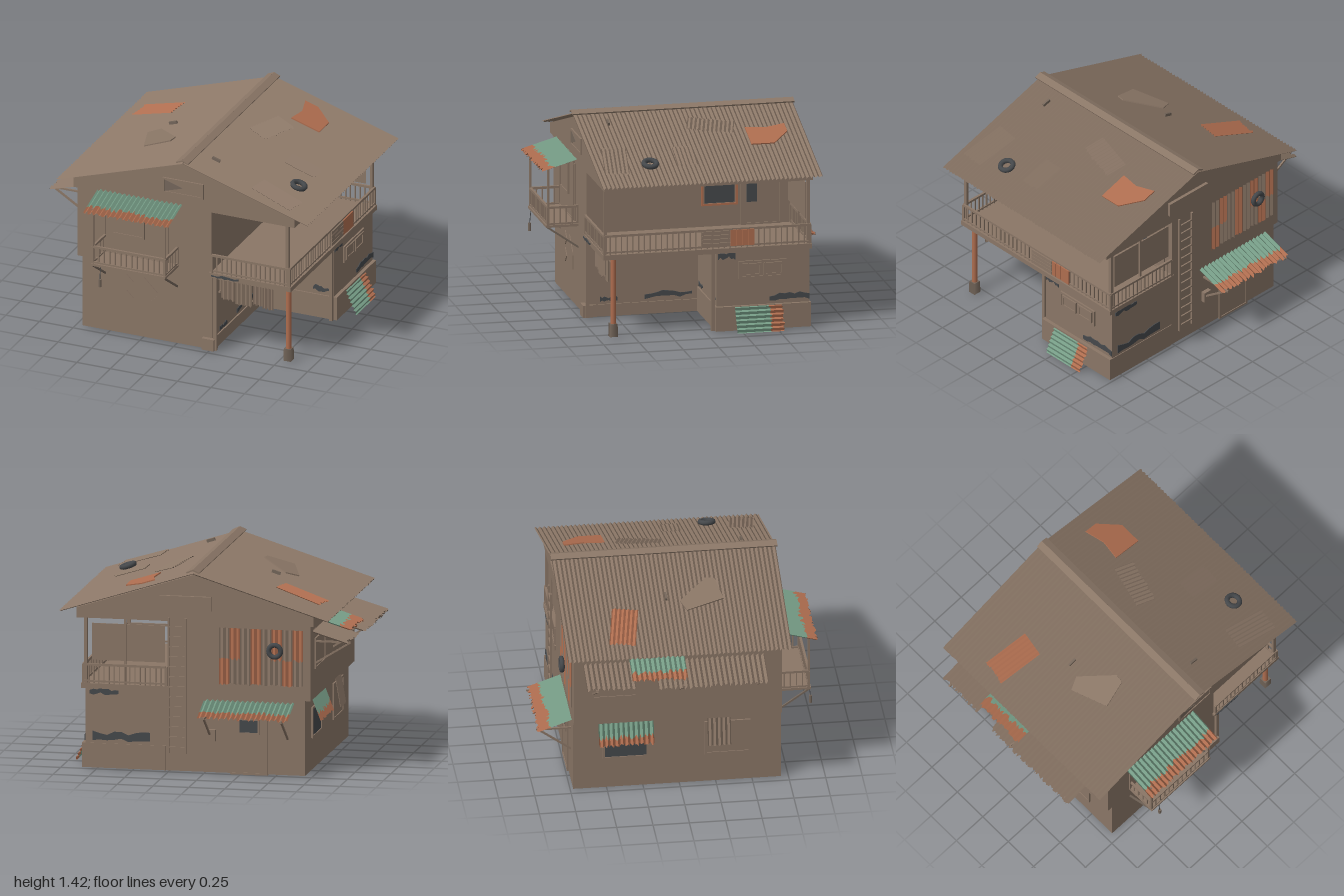
import * as THREE from 'three';

const paint = (name, color) => {
  const m = new THREE.MeshStandardMaterial({ color, side: THREE.DoubleSide });
  m.name = name;
  return m;
};

export function createModel() {
  const model = new THREE.Group();
  model.name = 'house';
  const tan = paint('weatheredTan', 0x8a7666), green = paint('fadedGreen', 0x769c86);
  const rust = paint('rust', 0xae6d4f), dark = paint('charcoal', 0x45484b);
  const brown = paint('dimBrown', 0x74665a);
  let seed = 7;
  const rnd = () => ((seed = (seed * 16807) % 2147483647) / 2147483647);

  const add = (name, geo, mat, parent = model) => {
    const m = new THREE.Mesh(geo, mat);
    m.name = name;
    parent.add(m);
    return m;
  };
  // box given by its minimum and maximum on each axis
  const box = (name, x0, x1, y0, y1, z0, z1, mat = tan) => {
    const m = add(name, new THREE.BoxGeometry(x1 - x0, y1 - y0, z1 - z0), mat);
    m.position.set((x0 + x1) / 2, (y0 + y1) / 2, (z0 + z1) / 2);
    return m;
  };
  // square bar between two points
  const bar = (name, a, b, t = 0.012, mat = tan) => {
    const p = new THREE.Vector3(...a), q = new THREE.Vector3(...b), d = q.clone().sub(p);
    const m = add(name, new THREE.BoxGeometry(t, d.length(), t), mat);
    m.position.copy(p).add(q).multiplyScalar(0.5);
    m.quaternion.setFromUnitVectors(new THREE.Vector3(0, 1, 0), d.normalize());
    return m;
  };
  // thin plate on a wall: 0 front, 1 right, 2 back, 3 left
  const plate = (name, pts, mat, pos, side = 0) => {
    const shape = new THREE.Shape(pts.map((p) => new THREE.Vector2(...p)));
    const m = add(name, new THREE.ExtrudeGeometry(shape, { depth: 0.006, bevelEnabled: false }), mat);
    m.position.set(...pos);
    m.rotation.y = side * Math.PI / 2;
    return m;
  };
  const rect = (w, h) => [[-w / 2, -h / 2], [w / 2, -h / 2], [w / 2, h / 2], [-w / 2, h / 2]];
  const blob = (w, h) => {
    const n = 8, pts = [];
    for (let i = 0; i <= n; i++) pts.push([(i / n - 0.5) * w, -h * (0.1 + 0.4 * rnd())]);
    for (let i = n; i >= 0; i--) pts.push([(i / n - 0.5) * w, h * (0.05 + 0.45 * rnd())]);
    return pts;
  };
  // framed opening on a wall, centred on pos
  const frame = (name, w, h, pos, side, pane = tan, edge = tan) => {
    plate(name + 'Pane', rect(w, h), pane, pos, side);
    const g = new THREE.Group();
    g.name = name + 'Frame';
    g.position.set(...pos);
    g.rotation.y = side * Math.PI / 2;
    model.add(g);
    for (const s of [-1, 1]) {
      add('frameSide', new THREE.BoxGeometry(0.014, h + 0.014, 0.024), edge, g).position.x = s * w / 2;
      add('frameRail', new THREE.BoxGeometry(w, 0.014, 0.024), edge, g).position.y = s * h / 2;
    }
  };
  // corrugated sheet: runs along +x, waves across z, changes colour at the split
  const sheet = (name, width, run, { pitch = 0.03, amp = 0.006, jag = 0.008, split = 0.6, mats = [tan, tan], parent = model } = {}) => {
    const n = Math.max(4, Math.round(width / pitch) * 4), g = new THREE.PlaneGeometry(1, 1, n, 2), p = g.attributes.position;
    for (let i = 0; i < p.count; i++) {
      const c = i % (n + 1), r = Math.floor(i / (n + 1));
      const x = [0, split * run, run][r] + (r ? (rnd() - 0.5) * jag * (r === 1 ? 3 : 2) : 0);
      p.setXYZ(i, x, amp * Math.sin(c * Math.PI / 2), (c / n - 0.5) * width);
    }
    g.clearGroups();
    g.addGroup(0, 6 * n, 0);
    g.addGroup(6 * n, 6 * n, 1);
    const flat = g.toNonIndexed();
    flat.computeVertexNormals();
    return add(name, flat, mats, parent);
  };
  const rail = (name, a, b, y0, y1, gap = 0.04) => {
    bar(name + 'Top', [a[0], y1, a[1]], [b[0], y1, b[1]], 0.016);
    bar(name + 'Bottom', [a[0], y0 + 0.015, a[1]], [b[0], y0 + 0.015, b[1]]);
    const n = Math.round(Math.hypot(b[0] - a[0], b[1] - a[1]) / gap);
    for (let i = 0; i <= n; i++) {
      const x = a[0] + (b[0] - a[0]) * i / n, z = a[1] + (b[1] - a[1]) * i / n;
      bar(name + 'Baluster', [x, y0, z], [x, y1, z], i % n ? 0.008 : 0.016);
    }
  };

  // walls
  box('groundFloor', -0.7, 0.27, 0, 0.55, -0.73, 0.7);
  box('groundFloorRear', 0.27, 0.83, 0, 0.55, -0.73, -0.08);
  box('plinth', 0.27, 0.855, 0, 0.17, -0.735, -0.07);
  box('upperFloor', -0.74, 0.26, 0.52, 1.05, -0.73, 0.7);
  box('deck', 0.25, 0.86, 0.55, 0.585, -0.74, 0.72);
  box('pillarFoot', 0.2, 0.29, 0, 0.085, 0.66, 0.73);
  box('wallFoot', 0.26, 0.28, 0, 0.085, -0.08, 0.7);
  const gable = new THREE.Shape([[-0.76, 1.04], [0.89, 1.04], [0.89, 1.11], [0.07, 1.37], [-0.76, 1.11]].map((p) => new THREE.Vector2(...p)));
  add('gable', new THREE.ExtrudeGeometry(gable, { depth: 1.46, bevelEnabled: false }), tan).position.z = -0.74;

  // roof slopes with patches
  const slopes = {};
  for (const s of [-1, 1]) {
    const g = new THREE.Group(), rise = 0.295, reach = s > 0 ? 0.93 : 0.94;
    g.name = s > 0 ? 'rightSlope' : 'leftSlope';
    g.position.set(0.07, 1.385, -0.015);
    g.rotation.set(0, s > 0 ? 0 : Math.PI, -Math.atan2(rise, reach));
    model.add(g);
    sheet('roofSheet', 1.54, Math.hypot(rise, reach), { parent: g, amp: 0.007, jag: 0.003 });
    slopes[s] = g;
  }
  const onRoof = (obj, x, z, yaw = 0, lift = 0.018) => {
    const s = x > 0.07 ? 1 : -1, holder = new THREE.Group();
    holder.name = 'roofPiece';
    holder.position.set(Math.abs(x - 0.07) * 1.048, lift, s * (z + 0.015));
    holder.rotation.y = yaw;
    holder.add(obj);
    slopes[s].add(holder);
  };
  const patch = (x, z, run, width, yaw, mat) => {
    const m = sheet('roofPatch', width, run, { mats: [mat, mat], jag: 0.01 });
    m.position.x = -run / 2;
    onRoof(m, x, z, yaw);
  };
  patch(-0.6, -0.37, 0.33, 0.18, -0.17, rust);
  patch(0.33, -0.15, 0.15, 0.32, -0.27, tan);
  patch(0.68, 0.11, 0.23, 0.14, -0.03, tan);
  patch(0.7, 0.6, 0.32, 0.17, -0.13, tan);
  // torn scraps, outlined in plan around their centre
  const scrap = (x, z, pts, mat) => {
    const s = x > 0.07 ? 1 : -1;
    const shape = new THREE.Shape(pts.map(([a, b]) => new THREE.Vector2(a * s, -b * s)));
    const m = add('roofScrap', new THREE.ExtrudeGeometry(shape, { depth: 0.008, bevelEnabled: false }), mat);
    m.rotation.x = -Math.PI / 2;
    onRoof(m, x, z, 0, 0.01);
  };
  scrap(0.47, -0.52, [[-0.12, -0.14], [-0.02, -0.14], [0.12, -0.02], [0.12, 0.14], [-0.1, 0.14], [-0.08, 0]], rust);
  scrap(-0.35, 0.2, [[-0.14, -0.12], [-0.05, -0.16], [0.15, 0.04], [0.14, 0.1], [-0.05, 0.14]], tan);
  const roofTyre = add('roofTyre', new THREE.TorusGeometry(0.044, 0.018, 8, 20), dark);
  roofTyre.rotation.x = Math.PI / 2;
  onRoof(roofTyre, 0.76, 0.37, 0, 0.025);
  for (const [x, z] of [[-0.35, -0.05], [0.22, 0.54]]) onRoof(add('roofPeg', new THREE.BoxGeometry(0.06, 0.02, 0.014), brown), x, z);
  for (const s of [-1, 1]) {
    const cap = box('ridgeCap', -0.025, 0.025, -0.005, 0.005, -0.79, 0.765);
    cap.position.x = 0.07 + s * 0.021;
    cap.position.y = 1.4;
    cap.rotation.z = -s * 0.4;
  }

  // awnings: wall edge position, width, run, heading, drop angle
  const awning = (name, pos, width, run, heading, drop, mats, split) => {
    const m = sheet(name, width, run, { mats, split, amp: 0.009, pitch: 0.035, jag: 0.014 });
    m.position.set(...pos);
    m.rotation.set(0, heading, -drop);
  };
  const Q = Math.PI / 2, twoTone = [green, rust];
  awning('frontAwning', [-0.265, 1.06, 0.7], 0.63, 0.27, -Q, 0.28, twoTone, 0.72);
  awning('backAwning', [-0.31, 0.5, -0.73], 0.63, 0.24, Q, 0.34, twoTone, 0.66);
  awning('leftAwningRear', [-0.74, 0.995, -0.5], 0.34, 0.25, Math.PI, 0.29, [tan, tan], 0.5);
  awning('leftAwningMiddle', [-0.74, 1.015, -0.16], 0.38, 0.21, Math.PI, 0.3, twoTone, 0.66);
  awning('leftAwningFront', [-0.74, 0.99, 0.2], 0.76, 0.27, Math.PI, 0.28, [tan, tan], 0.5);
  awning('leftLowAwning', [-0.715, 0.52, -0.37], 0.38, 0.17, Math.PI, 1.2, twoTone, 0.66);
  for (const z of [-0.6, 0, 0.53]) {
    bar('awningStrut', [-0.74, 0.76, z], [-0.99, 0.915, z]);
    bar('awningArm', [-0.74, 0.915, z], [-0.99, 0.915, z]);
  }
  for (const x of [-0.58, -0.04]) {
    bar('backStrut', [x, 0.25, -0.73], [x, 0.41, -0.95]);
    bar('backArm', [x, 0.415, -0.73], [x, 0.415, -0.97]);
  }

  // front balcony
  box('balconyFloor', -0.54, 0.015, 0.575, 0.592, 0.7, 0.925);
  rail('balconyFront', [-0.53, 0.91], [0.005, 0.91], 0.585, 0.715);
  for (const x of [-0.53, 0.005]) {
    rail('balconySide', [x, 0.7], [x, 0.91], 0.585, 0.715);
    bar('balconyPost', [x, 0.58, 0.91], [x, 1.0, 0.91], 0.014);
    bar('balconyStrut', [x, 0.42, 0.69], [x, 0.58, 0.92], 0.012, brown);
  }
  const lantern = add('lantern', new THREE.CylinderGeometry(0.011, 0.011, 0.055, 8), brown);
  lantern.position.set(-0.47, 0.46, 0.93);
  bar('lanternCord', [-0.47, 0.48, 0.93], [-0.47, 0.58, 0.92], 0.004, dark);
  frame('balconyDoor', 0.47, 0.4, [-0.3, 0.79, 0.7], 0);
  frame('balconyWindow', 0.23, 0.25, [-0.355, 0.87, 0.706], 0);
  bar('doorPost', [-0.08, 0.59, 0.71], [-0.08, 1.04, 0.71]);

  // side gallery
  rail('galleryFront', [0.27, 0.71], [0.845, 0.71], 0.585, 0.715, 0.035);
  rail('galleryBack', [0.27, -0.73], [0.845, -0.73], 0.585, 0.715, 0.035);
  rail('galleryRight', [0.845, 0.71], [0.845, -0.73], 0.585, 0.715);
  for (const z of [-0.72, 0.7]) bar('galleryPost', [0.83, 0.58, z], [0.83, 1.06, z], 0.022);
  bar('middlePost', [0.555, 0.58, -0.72], [0.555, 1.05, -0.72], 0.016);
  box('hangingScreen', 0.28, 0.79, 0.745, 1.0, -0.715, -0.707);
  for (let i = 0; i < 4; i++) box('railBoard', 0.853, 0.862, 0.6 + i * 0.028, 0.625 + i * 0.028, -0.17, 0.03);
  for (let i = 0; i < 4; i++) box('rustBoard', 0.853, 0.862, 0.6, 0.712, -0.21 - i * 0.042, -0.172 - i * 0.042, rust);
  frame('galleryWindow', 0.24, 0.25, [0.26, 0.865, -0.23], 1, tan, rust);
  plate('galleryGlass', rect(0.21, 0.225), dark, [0.266, 0.865, -0.23], 1);
  frame('galleryDoor', 0.27, 0.41, [0.26, 0.795, -0.52], 1);
  plate('doorGlass', rect(0.07, 0.19), dark, [0.266, 0.84, -0.455], 1);

  // porch below the gallery
  add('porchColumn', new THREE.CylinderGeometry(0.02, 0.02, 0.5, 12), rust).position.set(0.81, 0.32, 0.64);
  add('columnFoot', new THREE.CylinderGeometry(0.036, 0.04, 0.09, 4, 1).rotateY(Math.PI / 4), brown).position.set(0.81, 0.045, 0.64);
  bar('porchPost', [0.29, 0, 0.7], [0.29, 0.55, 0.7], 0.024);
  bar('porchPost', [0.82, 0, -0.055], [0.82, 0.55, -0.055], 0.024);
  bar('slatTop', [0.285, 0.51, 0.62], [0.285, 0.51, -0.04]);
  bar('slatBottom', [0.285, 0.4, 0.62], [0.285, 0.4, -0.04]);
  for (let i = 0; i < 15; i++) bar('slat', [0.285, 0.4, 0.6 - i * 0.044], [0.285, 0.51, 0.6 - i * 0.044], 0.01);
  bar('clothLine', [0.28, 0.515, 0.65], [0.82, 0.515, 0.65], 0.008);
  for (const [a, b, y] of [[0.31, 0.41, 0.37], [0.415, 0.54, 0.35], [0.55, 0.61, 0.37], [0.62, 0.7, 0.355]]) {
    const m = sheet('hangingSheet', b - a, 0.52 - y, { pitch: 0.03 });
    m.position.set((a + b) / 2, 0.52, 0.65);
    m.rotation.set(0, -Q, -Q);
  }

  // right side window and leaning sheet
  frame('sideWindow', 0.32, 0.11, [0.83, 0.42, -0.4], 1);
  for (const z of [-0.325, -0.475]) frame('sideSash', 0.12, 0.075, [0.836, 0.42, z], 1);
  const lean = new THREE.Group();
  lean.name = 'leaningSheet';
  lean.position.set(0.905, 0.085, -0.2);
  lean.rotation.z = -1.13;
  model.add(lean);
  sheet('leaningMetal', 0.185, 0.33, { mats: twoTone, split: 0.74, parent: lean, amp: 0.007 }).rotation.y = Q;

  // dark stains
  for (const [w, h, pos, side] of [
    [0.28, 0.06, [0.83, 0.215, -0.59], 1], [0.12, 0.07, [0.83, 0.53, -0.15], 1], [0.33, 0.06, [0.27, 0.13, 0.13], 1],
    [0.12, 0.05, [0.28, 0.12, 0.55], 1], [0.12, 0.05, [0.735, 0.215, -0.08], 0], [0.11, 0.04, [0.355, 0.2, -0.08], 0],
    [0.2, 0.025, [0.37, 0.565, 0.72], 0], [0.4, 0.08, [0.58, 0.22, -0.73], 2], [0.2, 0.05, [0.7, 0.53, -0.73], 2],
  ]) plate('stain', blob(w, h), dark, pos, side);

  // front window shards and gable signs
  for (const [sx, sy] of [[-1, -1], [-1, 1], [1, -1], [1, 1]]) {
    const pts = sx < 0 || sy < 0 ? [[-0.05 , -0.05], [0.0, 0], [-0.05, 0.05]] : [[-0.05, -0.05], [0.05, -0.05], [0.05, 0.05]];
    plate('windowShard', pts.map(([a, b]) => [sx < 0 ? a : -a, b]), tan, [-0.255 + sx * 0.065, 0.34 + sy * 0.06, 0.7]);
  }
  frame('gableBoard', 0.29, 0.1, [0.06, 1.185, 0.72], 0);
  plate('gableTriangle', [[-0.075, -0.045], [0.07, 0.0], [-0.075, 0.045]], brown, [-0.01, 1.185, 0.724]);
  box('backGableBoard', -0.05, 0.31, 1.12, 1.22, -0.762, -0.74);

  // back wall: ladder, shutter, tyre, door, meter
  for (const x of [0.12, 0.24]) bar('ladderRail', [x, 0.13, -0.78], [x, 1.07, -0.78], 0.014);
  for (let i = 0; i < 13; i++) bar('ladderRung', [0.12, 0.17 + i * 0.07, -0.78], [0.24, 0.17 + i * 0.07, -0.78], 0.01);
  for (let i = 0; i < 8; i++) {
    const m = sheet('shutterStrip', 0.073, 0.39, { mats: [i % 2 ? rust : tan, i % 3 ? tan : rust], split: 0.55, pitch: 0.036 });
    m.position.set(-0.14 - i * 0.073, 1.01, -0.742);
    m.rotation.set(0, Q, -Q);
  }
  add('wallTyre', new THREE.TorusGeometry(0.042, 0.017, 8, 20), dark).position.set(-0.5, 0.87, -0.785);
  frame('backDoor', 0.25, 0.41, [-0.31, 0.205, -0.73], 2);
  frame('backDoorWindow', 0.14, 0.1, [-0.31, 0.33, -0.736], 2, dark);
  box('meterBox', -0.08, -0.02, 0.22, 0.3, -0.76, -0.73);

  // left wall windows
  frame('leftWindow', 0.3, 0.24, [-0.7, 0.34, 0.33], 3);
  frame('leftRearWindow', 0.3, 0.2, [-0.7, 0.33, -0.37], 3, dark);
  const flap = sheet('windowFlap', 0.16, 0.2);
  flap.position.set(-0.72, 0.5, 0.27);
  flap.rotation.set(0, Math.PI, -1.4);
  frame('leftUpperWindow', 0.3, 0.2, [-0.74, 0.83, -0.45], 3);
  return model;
}
